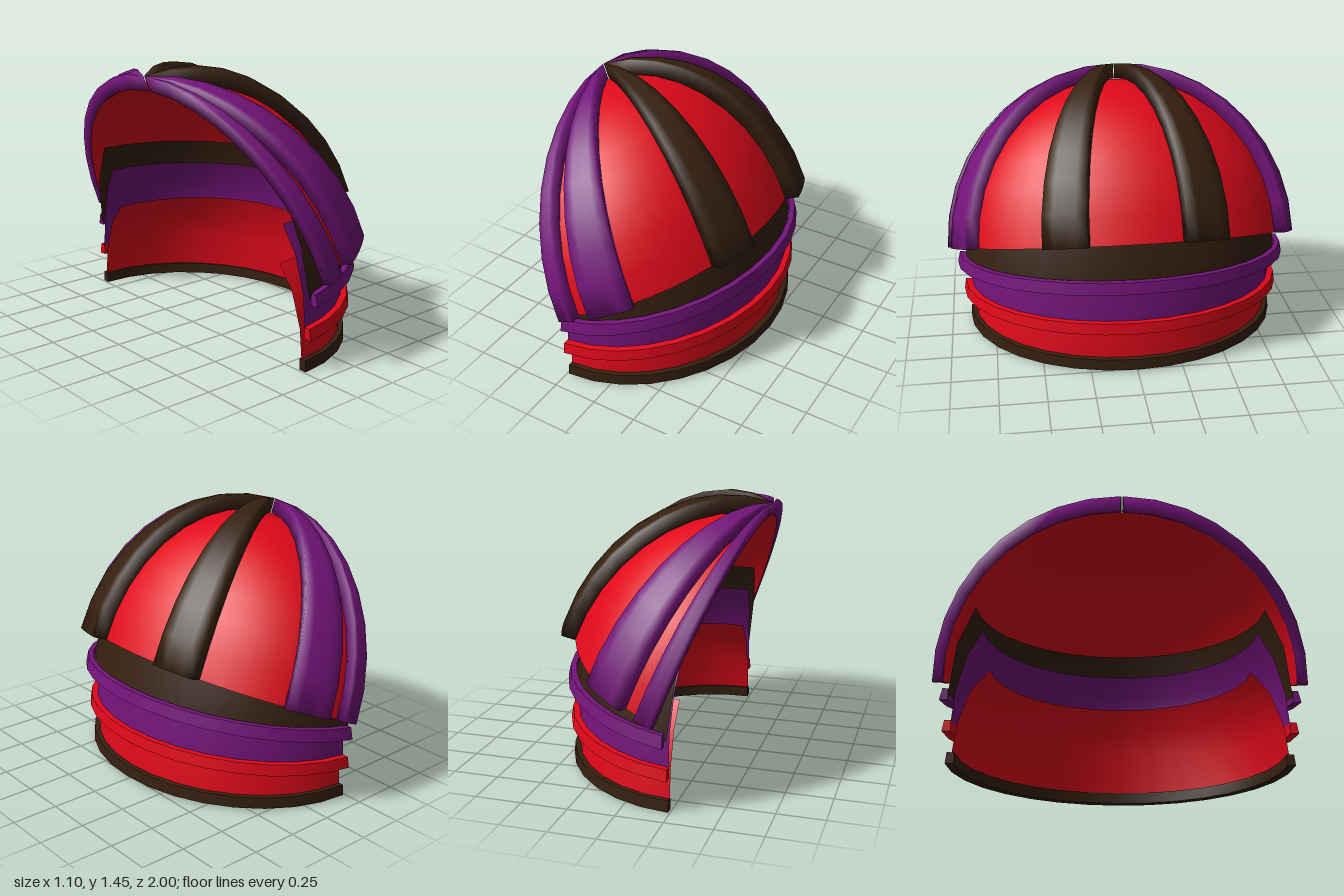
import * as THREE from 'three';
import { toCreasedNormals } from 'three/addons/utils/BufferGeometryUtils.js';

const material = (color) => new THREE.MeshStandardMaterial({ color, side: THREE.DoubleSide });
const RED = material(0xe0081a), PURPLE = material(0x74147a), BROWN = material(0x35200f);
const rad = THREE.MathUtils.degToRad;
const lerp = THREE.MathUtils.lerp;

// Skins a list of cross-sections; closed sections become a capped solid.
function loft(sections, closed, crease = 40) {
  const n = sections[0].length, pos = sections.flat(2), idx = [];
  for (let i = 0; i < sections.length - 1; i++) {
    for (let j = 0; j < (closed ? n : n - 1); j++) {
      const k = (j + 1) % n;
      const a = i * n + j, b = i * n + k, c = a + n, d = b + n;
      idx.push(a, b, d, a, d, c);
    }
  }
  if (closed) {
    const last = (sections.length - 1) * n;
    for (let j = 1; j < n - 1; j++) {
      idx.push(0, j + 1, j, last, last + j, last + j + 1);
    }
  }
  const geometry = new THREE.BufferGeometry();
  geometry.setAttribute('position', new THREE.Float32BufferAttribute(pos, 3));
  geometry.setIndex(idx);
  return toCreasedNormals(geometry, rad(crease));
}

function add(group, name, geometry, mat) {
  const mesh = new THREE.Mesh(geometry, mat);
  mesh.name = name;
  group.add(mesh);
}

// Point on a half-ellipse edge that is tilted from its open back to its front.
// edge = [xBack, xFront, zHalf, yBack, yFront]
function edgePoint([xb, xf, zh, yb, yf], t) {
  const c = Math.cos(t);
  return [lerp(xb, xf, c), lerp(yb, yf, c), zh * Math.sin(t)];
}

// Sweeps a profile made of edges around the half-ellipse.
function band(edges, closed) {
  const sections = [];
  for (let i = 0; i <= 16; i++) {
    const t = rad(90 - i * 180 / 16);
    sections.push(edges.map((e) => edgePoint(e, t)));
  }
  return loft(sections, closed);
}

// Raised strip whose outer face leans in a little, like the walls.
function trim([xb, xf, zh, yb, yf], height, lean) {
  const e = (inset, h) => [xb, xf - inset, zh - inset, yb + h, yf + h];
  return band([e(0.045, 0), e(0, 0), e(lean, height), e(0.045, height)], true);
}

// Tilted quarter-ellipsoid: u runs to the tip, v runs outward.
const CENTER = [-0.19, 0.47], U = [-0.358, 0.934], V = [0.929, 0.37];
const OUTER = [0.815, 1.0, 1.008], RIB_BASE = [0.735, 0.945, 0.925], PANEL = [0.732, 0.942, 0.922];

function domePoint([a, b, h], theta, phi) {
  const v = a * Math.cos(theta) * Math.cos(phi), u = h * Math.sin(phi);
  return [
    CENTER[0] + V[0] * v + U[0] * u,
    CENTER[1] + V[1] * v + U[1] * u,
    b * Math.sin(theta) * Math.cos(phi),
  ];
}

const phis = Array.from({ length: 10 }, (_, i) => rad(i * 89.5 / 9));

// Rib between two angles, narrowing from the rim to the tip.
function rib(from, to) {
  return loft(phis.map((phi) => {
    const section = [];
    for (let j = 0; j <= 4; j++) section.push(domePoint(OUTER, rad(lerp(from, to, j / 4)), phi));
    for (let j = 4; j >= 0; j--) section.push(domePoint(RIB_BASE, rad(lerp(from, to, j / 4)), phi));
    return section;
  }), true, 100);
}

export function createModel() {
  const model = new THREE.Group();
  model.name = 'shoulderGuard';

  // Overlapping arm bands, each curling inward behind the one above
  const bands = new THREE.Group();
  bands.name = 'armBands';
  model.add(bands);
  add(bands, 'lowerWall', band([
    [-0.24, 0.5, 0.865, 0.02, 0.04], [-0.24, 0.478, 0.845, 0.22, 0.28],
    [-0.24, 0.445, 0.785, 0.4, 0.43], [-0.24, 0.39, 0.69, 0.52, 0.55]]), RED);
  add(bands, 'middleWall', band([
    [-0.24, 0.5, 0.88, 0.2, 0.27], [-0.24, 0.478, 0.865, 0.4, 0.52],
    [-0.25, 0.45, 0.815, 0.6, 0.65], [-0.262, 0.4, 0.735, 0.74, 0.76]]), PURPLE);
  add(bands, 'upperWall', band([
    [-0.235, 0.5, 0.905, 0.38, 0.51], [-0.268, 0.45, 0.87, 0.66, 0.72],
    [-0.285, 0.39, 0.78, 0.87, 0.89]]), BROWN);
  add(bands, 'bottomTrim', trim([-0.24, 0.533, 0.893, 0, 0.017], 0.06, 0.006), BROWN);
  add(bands, 'lowerTrim', trim([-0.24, 0.54, 0.922, 0.175, 0.24], 0.06, 0.01), RED);
  add(bands, 'upperTrim', trim([-0.225, 0.547, 0.95, 0.355, 0.48], 0.065, 0.014), PURPLE);

  // Dome shell, sunk below the ribs
  const dome = new THREE.Group();
  dome.name = 'dome';
  model.add(dome);
  const thetas = Array.from({ length: 25 }, (_, i) => rad(-90 + i * 7.5));
  add(dome, 'domeShell', loft(phis.map((p) => thetas.map((t) => domePoint(PANEL, t, p)))), RED);

  // Mirrored ribs meeting at the tip
  const ribs = [
    ['frontRib', 15, 29.5, BROWN],
    ['sideRib', 60, 77, PURPLE],
    ['backRib', 83, 90, PURPLE],
  ];
  for (const [name, from, to, mat] of ribs) {
    add(dome, name + 'A', rib(from, to), mat);
    add(dome, name + 'B', rib(-to, -from), mat);
  }
  return model;
}
